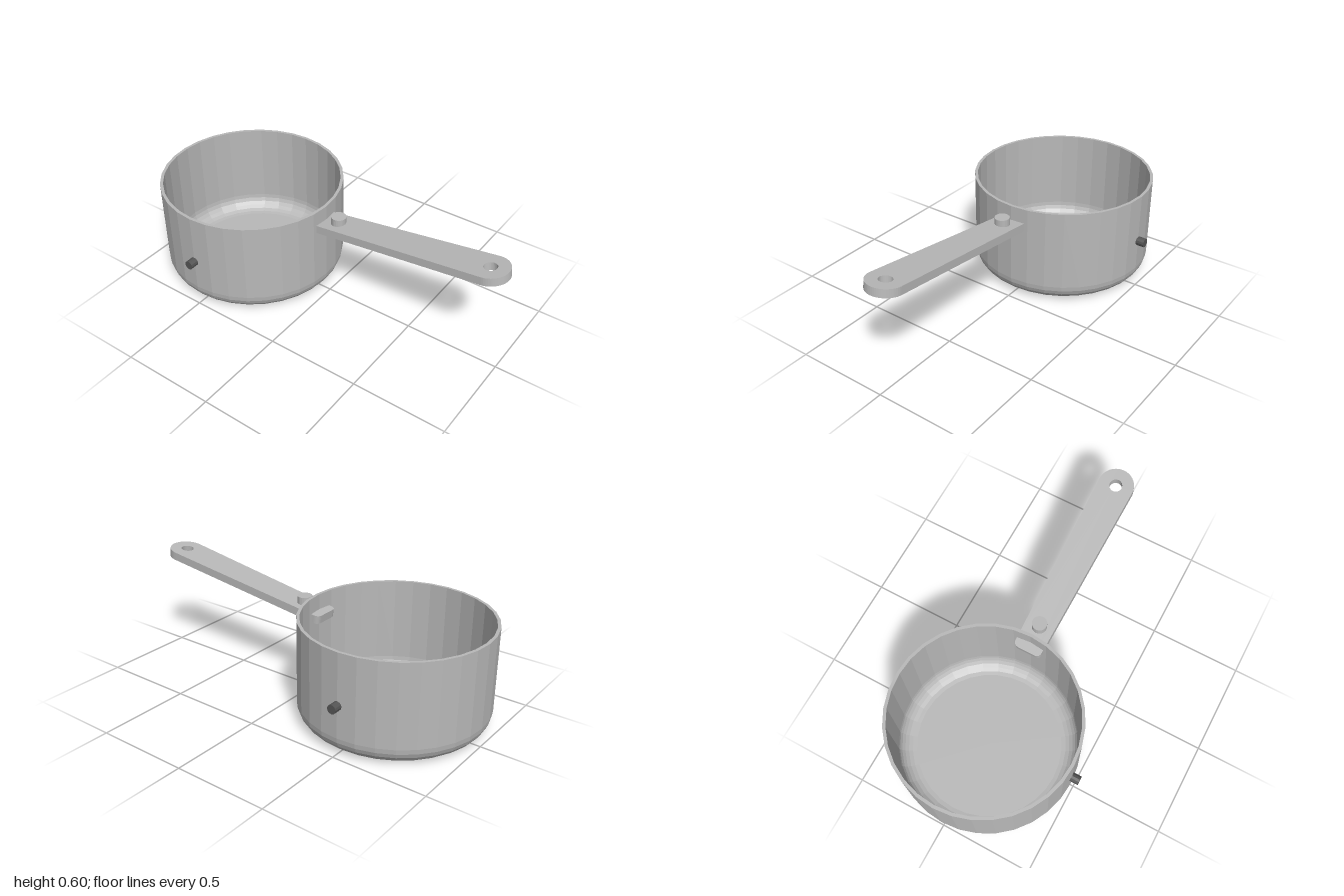
import * as THREE from 'three';

export function createModel() {
  const group = new THREE.Group();
  group.name = 'saucepan';
  const steel = new THREE.MeshStandardMaterial({ color: 0xb8b8b8, flatShading: true });
  steel.name = 'brushed steel';
  const dark = new THREE.MeshStandardMaterial({ color: 0x555555, flatShading: true });
  dark.name = 'dark steel';

  const add = (name, geometry, material, parent = group) => {
    const mesh = new THREE.Mesh(geometry, material);
    mesh.name = name;
    parent.add(mesh);
    return mesh;
  };

  const potX = -0.512, radius = 0.488, height = 0.54, wall = 0.016, fillet = 0.1;

  // Pot: outer skin up to the rim, then the inner skin back to the floor
  const arc = (r, steps) => Array.from({ length: steps + 1 }, (_, i) => {
    const a = (i / steps) * Math.PI / 2;
    return new THREE.Vector2(radius - fillet + r * Math.sin(a), fillet - r * Math.cos(a));
  });
  const profile = [
    new THREE.Vector2(0, 0),
    ...arc(fillet, 6),
    new THREE.Vector2(radius, height),
    new THREE.Vector2(radius - wall, height),
    ...arc(fillet - wall, 6).reverse(),
    new THREE.Vector2(0, wall),
  ];
  add('pot', new THREE.LatheGeometry(profile, 32), steel).position.x = potX;

  // Side pins, front and back
  for (const side of [1, -1]) {
    const pin = add(side > 0 ? 'frontPin' : 'backPin',
      new THREE.CylinderGeometry(0.024, 0.024, 0.052, 12), dark);
    pin.rotation.x = Math.PI / 2;
    pin.position.set(potX, 0.272, side * 0.505);
  }

  // Handle: tapered bar through the wall, round at the far end, with a hanging hole
  const start = -0.055, inner = 0.075, outer = 0.095, end = 0.945, corner = 0.03;
  const bar = new THREE.Shape();
  bar.moveTo(start + corner, -inner);
  bar.lineTo(end, -outer);
  bar.absarc(end, 0, outer, -Math.PI / 2, Math.PI / 2, false);
  bar.lineTo(start + corner, inner);
  bar.quadraticCurveTo(start, inner, start, inner - corner);
  bar.lineTo(start, -inner + corner);
  bar.quadraticCurveTo(start, -inner, start + corner, -inner);
  const hole = new THREE.Path();
  hole.absarc(end, 0, 0.034, 0, Math.PI * 2, true);
  bar.holes.push(hole);
  const barGeometry = new THREE.ExtrudeGeometry(bar, { depth: 0.044, bevelEnabled: false, curveSegments: 14 });
  barGeometry.rotateX(-Math.PI / 2);
  const handle = add('handle', barGeometry, steel);
  handle.rotation.z = 0.137;
  handle.position.set(-0.03, 0.415, 0);

  // Upright stud on the handle beside the pot
  add('handleStud', new THREE.CylinderGeometry(0.039, 0.039, 0.07, 24), steel)
    .position.set(0.054, 0.476, 0);

  return group;
}
